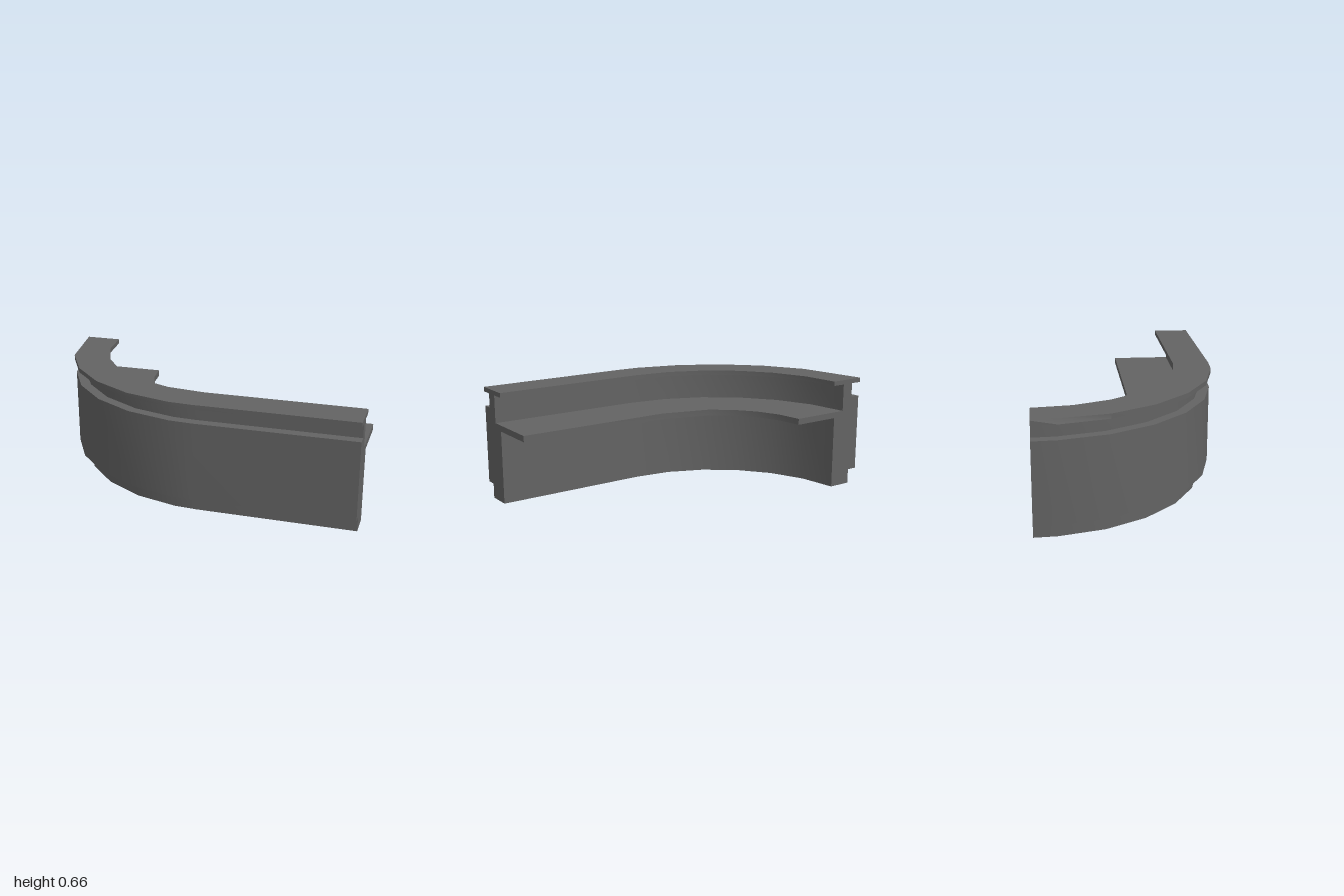
import * as THREE from 'three';
import { toCreasedNormals } from 'three/addons/utils/BufferGeometryUtils.js';

// The bend turns a quarter circle about (CX, CZ), then runs straight to x = 1.
const CX = 0.075, CZ = -0.537, END = 1;
const outerAngles = [0, 7.5, 22.5, 37.5, 52.5, 67.5, 82.5, 90];
const innerAngles = [0, 15, 30, 45, 60, 75, 90];
const shelfAngles = [0, 30, 45, 60, 75, 90];

function bendPoint(r, degrees) {
  const a = THREE.MathUtils.degToRad(degrees);
  return new THREE.Vector2(CX - r * Math.sin(a), CZ + r * Math.cos(a));
}

// Plan outline of one edge: straight run followed by the bend.
function edge(r, angles) {
  return [new THREE.Vector2(END, CZ + r), ...angles.map((a) => bendPoint(r, a))];
}

// Solid strip between two edges, from height y0 to y1.
function strip(inner, outer, y0, y1) {
  const shape = new THREE.Shape([...outer, ...inner.slice().reverse()]);
  const geometry = new THREE.ExtrudeGeometry(shape, { depth: y1 - y0, bevelEnabled: false });
  geometry.rotateX(Math.PI / 2);
  geometry.translate(0, y1, 0);
  return geometry;
}

export function createModel() {
  const group = new THREE.Group();
  const grey = new THREE.MeshStandardMaterial({ color: 0x636363 });
  grey.name = 'dark grey';

  const add = (name, geometry) => {
    const mesh = new THREE.Mesh(toCreasedNormals(geometry, 0.6), grey);
    mesh.name = name;
    group.add(mesh);
  };

  const wallFront = edge(1.007, outerAngles);
  const wallBack = edge(0.867, innerAngles);

  add('lowerWall', strip(wallBack, wallFront, 0, 0.435));
  add('frontPanel', strip(wallFront, edge(1.067, outerAngles), 0.087, 0.55));
  add('rearShelf', strip(edge(0.577, shelfAngles), wallFront, 0.435, 0.471));
  add('upperWall', strip(edge(0.937, innerAngles), wallFront, 0.471, 0.635));

  // Top rail: its upper rim cuts straight across the last corner of the bend.
  const rail = strip(edge(0.858, innerAngles), edge(1.075, outerAngles), 0.635, 0.662);
  const corner = bendPoint(1.075, 82.5);
  const chord = bendPoint(1.075, 67.5).lerp(bendPoint(1.075, 90), 0.66);
  const p = rail.attributes.position;
  for (let i = 0; i < p.count; i++) {
    const atCorner = Math.hypot(p.getX(i) - corner.x, p.getZ(i) - corner.y) < 0.001;
    if (atCorner && p.getY(i) > 0.65) p.setXYZ(i, chord.x, p.getY(i), chord.y);
  }
  add('topRail', rail);

  return group;
}
